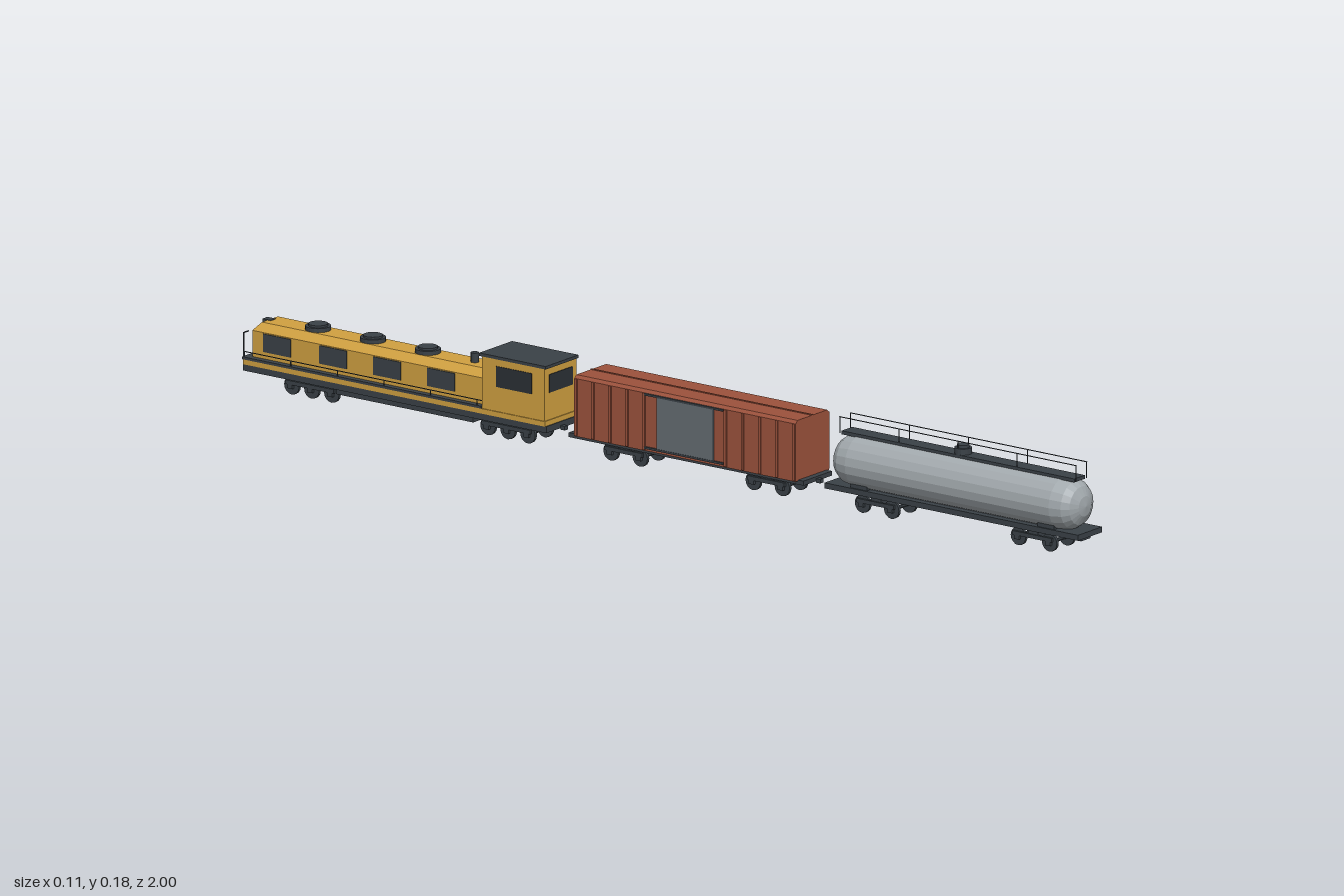
import * as THREE from 'three';

const mat = (color) => new THREE.MeshStandardMaterial({ color, flatShading: true });

export function createModel() {
  const yellow = mat(0xd0a040), dark = mat(0x3a4147), red = mat(0x9c523c);
  const silver = mat(0xa2a9ad), door = mat(0x646c72), black = mat(0x2b3035);
  const train = new THREE.Group();
  train.name = 'freightTrain';

  const group = (name) => {
    const g = new THREE.Group();
    g.name = name;
    train.add(g);
    return g;
  };
  const add = (parent, name, geo, material, x = 0, y = 0, z = 0) => {
    const m = new THREE.Mesh(geo, material);
    m.name = name;
    m.position.set(x, y, z);
    parent.add(m);
    return m;
  };
  // Box given by half width, bottom/top and z range, centred at x
  const box = (parent, name, material, w, y0, y1, z0, z1, x = 0) =>
    add(parent, name, new THREE.BoxGeometry(w, y1 - y0, Math.abs(z1 - z0)), material, x, (y0 + y1) / 2, (z0 + z1) / 2);
  // Upright cylinder
  const post = (parent, name, material, r, y0, y1, x, z, n = 16) =>
    add(parent, name, new THREE.CylinderGeometry(r, r, y1 - y0, n), material, x, (y0 + y1) / 2, z);
  // Front-on outline (half profile, mirrored) swept along z
  const sweep = (parent, name, material, half, z0, z1) => {
    const pts = [...half, ...half.slice().reverse().map(([x, y]) => [-x, y])];
    const shape = new THREE.Shape(pts.map(([x, y]) => new THREE.Vector2(x, y)));
    return add(parent, name, new THREE.ExtrudeGeometry(shape, { depth: z1 - z0, bevelEnabled: false }), material, 0, 0, z0);
  };

  // Bogie: wheel pairs, axles, side frames and bolster
  const bogie = (parent, zs) => {
    const g = new THREE.Group();
    g.name = 'bogie';
    parent.add(g);
    const a = Math.min(...zs), b = Math.max(...zs), mid = (a + b) / 2;
    const wheel = new THREE.CylinderGeometry(0.018, 0.018, 0.006, 16).rotateZ(Math.PI / 2);
    const axle = new THREE.CylinderGeometry(0.004, 0.004, 0.064, 8).rotateZ(Math.PI / 2);
    for (const z of zs) {
      add(g, 'axle', axle, dark, 0, 0.018, z);
      for (const s of [-1, 1]) {
        add(g, 'wheel', wheel, dark, s * 0.027, 0.018, z);
        box(g, 'axleBox', dark, 0.006, 0.013, 0.026, z - 0.006, z + 0.006, s * 0.033);
      }
    }
    for (const s of [-1, 1]) box(g, 'sideFrame', dark, 0.005, 0.021, 0.029, a - 0.01, b + 0.01, s * 0.034);
    box(g, 'bolster', dark, 0.066, 0.022, 0.036, mid - 0.012, mid + 0.012);
  };
  const couplers = (parent, z0, z1) => {
    for (const [z, s] of [[z0, -1], [z1, 1]])
      box(parent, 'coupler', dark, 0.01, 0.032, 0.04, z, z + s * 0.01);
  };

  // ---------- Tank wagon ----------
  const tank = group('tankWagon');
  const zc = 0.695;
  box(tank, 'underframe', dark, 0.076, 0.036, 0.047, 0.39, 1.0);
  box(tank, 'centreSill', dark, 0.03, 0.028, 0.037, 0.4, 0.99);
  box(tank, 'coupler', dark, 0.01, 0.032, 0.04, 0.38, 0.39);
  const end = [[0, 0.296], [0.02, 0.293], [0.038, 0.284], [0.048, 0.27], [0.053, 0.245]];
  const outline = [...end.map(([r, z]) => [r, -z]), ...end.slice().reverse()];
  const barrel = new THREE.LatheGeometry(outline.map(([r, z]) => new THREE.Vector2(r, z)), 20).rotateX(Math.PI / 2);
  add(tank, 'barrel', barrel, silver, 0, 0.094, zc);
  for (const z of [0.47, 0.92]) box(tank, 'saddle', dark, 0.07, 0.045, 0.065, z - 0.02, z + 0.02);
  box(tank, 'walkway', dark, 0.034, 0.143, 0.15, 0.415, 0.975);
  post(tank, 'manhole', dark, 0.017, 0.145, 0.162, 0, zc);
  post(tank, 'manholeLid', dark, 0.012, 0.162, 0.168, 0, zc);
  for (const s of [-1, 1]) {
    const x = s * 0.017;
    box(tank, 'handrail', dark, 0.0015, 0.1765, 0.178, 0.41, 0.98, x);
    for (let i = 0; i < 5; i++) {
      const z = 0.411 + i * 0.142;
      box(tank, 'railPost', dark, 0.0015, 0.145, 0.178, z - 0.00075, z + 0.00075, x);
    }
  }
  bogie(tank, [0.925, 0.85]);
  bogie(tank, [0.545, 0.475]);

  // ---------- Box wagon ----------
  const boxcar = group('boxWagon');
  box(boxcar, 'underframe', dark, 0.09, 0.035, 0.044, -0.22, 0.345);
  box(boxcar, 'centreSill', dark, 0.03, 0.026, 0.036, -0.19, 0.32);
  couplers(boxcar, -0.22, 0.345);
  sweep(boxcar, 'body', red, [[0.053, 0.042], [0.053, 0.157], [0.047, 0.163]], -0.2, 0.332);
  box(boxcar, 'roofRidge', red, 0.004, 0.162, 0.1645, -0.2, 0.332);
  for (const s of [-1, 1]) {
    for (let i = 0; i < 5; i++)
      for (const z of [0.328 - i * 0.041, -0.196 + i * 0.041])
        box(boxcar, 'rib', red, 0.004, 0.044, 0.157, z - 0.003, z + 0.003, s * 0.0535);
    box(boxcar, 'slidingDoor', door, 0.004, 0.05, 0.153, 0, 0.136, s * 0.054);
    for (const y of [0.047, 0.153])
      box(boxcar, 'doorTrack', dark, 0.005, y, y + 0.004, -0.03, 0.158, s * 0.0545);
  }
  bogie(boxcar, [0.282, 0.212]);
  bogie(boxcar, [-0.06, -0.13]);

  // ---------- Locomotive ----------
  const loco = group('locomotive');
  box(loco, 'underframe', dark, 0.1, 0.035, 0.048, -1, -0.27);
  box(loco, 'sillStripe', yellow, 0.104, 0.048, 0.058, -0.998, -0.272);
  box(loco, 'walkway', dark, 0.106, 0.058, 0.063, -1, -0.425);
  box(loco, 'fuelTank', dark, 0.076, 0.022, 0.036, -0.785, -0.455);
  box(loco, 'coupler', dark, 0.01, 0.032, 0.04, -0.27, -0.26);

  // Long hood with chamfered shoulders, nose end sloping in at the top
  const hood = sweep(loco, 'hood', yellow, [[0.04, 0.06], [0.04, 0.115], [0.025, 0.13]], -0.985, -0.42);
  const hp = hood.geometry.attributes.position;
  for (let i = 0; i < hp.count; i++)
    if (hp.getZ(i) < 0.001 && hp.getY(i) > 0.12) hp.setZ(i, 0.012);
  hood.geometry.computeVertexNormals();
  for (const z of [-0.53, -0.66, -0.79, -0.925])
    for (const s of [-1, 1])
      box(loco, 'grille', dark, 0.004, 0.077, 0.113, z - 0.033, z + 0.033, s * 0.04);
  for (const z of [-0.593, -0.725, -0.857]) {
    post(loco, 'fanHousing', dark, 0.025, 0.128, 0.138, 0, z, 20);
    post(loco, 'fanCap', dark, 0.019, 0.138, 0.142, 0, z, 20);
  }
  post(loco, 'exhaust', dark, 0.008, 0.128, 0.149, 0, -0.48, 12);
  box(loco, 'headlight', dark, 0.016, 0.122, 0.131, -0.985, -0.965);

  // Cab with windows on all four sides
  box(loco, 'cab', yellow, 0.1, 0.056, 0.163, -0.425, -0.274);
  box(loco, 'cabRoof', dark, 0.104, 0.162, 0.168, -0.43, -0.27);
  for (const s of [-1, 1])
    box(loco, 'sideWindow', black, 0.003, 0.107, 0.148, -0.39, -0.305, s * 0.05);
  box(loco, 'frontWindow', black, 0.074, 0.112, 0.148, -0.276, -0.2725);
  for (const s of [-1, 1])
    box(loco, 'rearWindow', black, 0.022, 0.136, 0.152, -0.4265, -0.424, s * 0.03);

  // Handrails along the walkway and around the nose
  for (const s of [-1, 1]) {
    const x = s * 0.051;
    box(loco, 'handrail', dark, 0.0015, 0.073, 0.0745, -0.997, -0.425, x);
    for (let i = 0; i < 6; i++) {
      const z = -0.996 + i * 0.112;
      box(loco, 'railPost', dark, 0.0015, 0.06, 0.0745, z - 0.00075, z + 0.00075, x);
    }
    box(loco, 'noseRailPost', dark, 0.002, 0.06, 0.112, -0.998, -0.996, x);
    box(loco, 'noseRail', dark, 0.016, 0.11, 0.112, -0.998, -0.996, s * 0.044);
  }
  bogie(loco, [-0.33, -0.378, -0.426]);
  bogie(loco, [-0.802, -0.85, -0.898]);

  return train;
}
